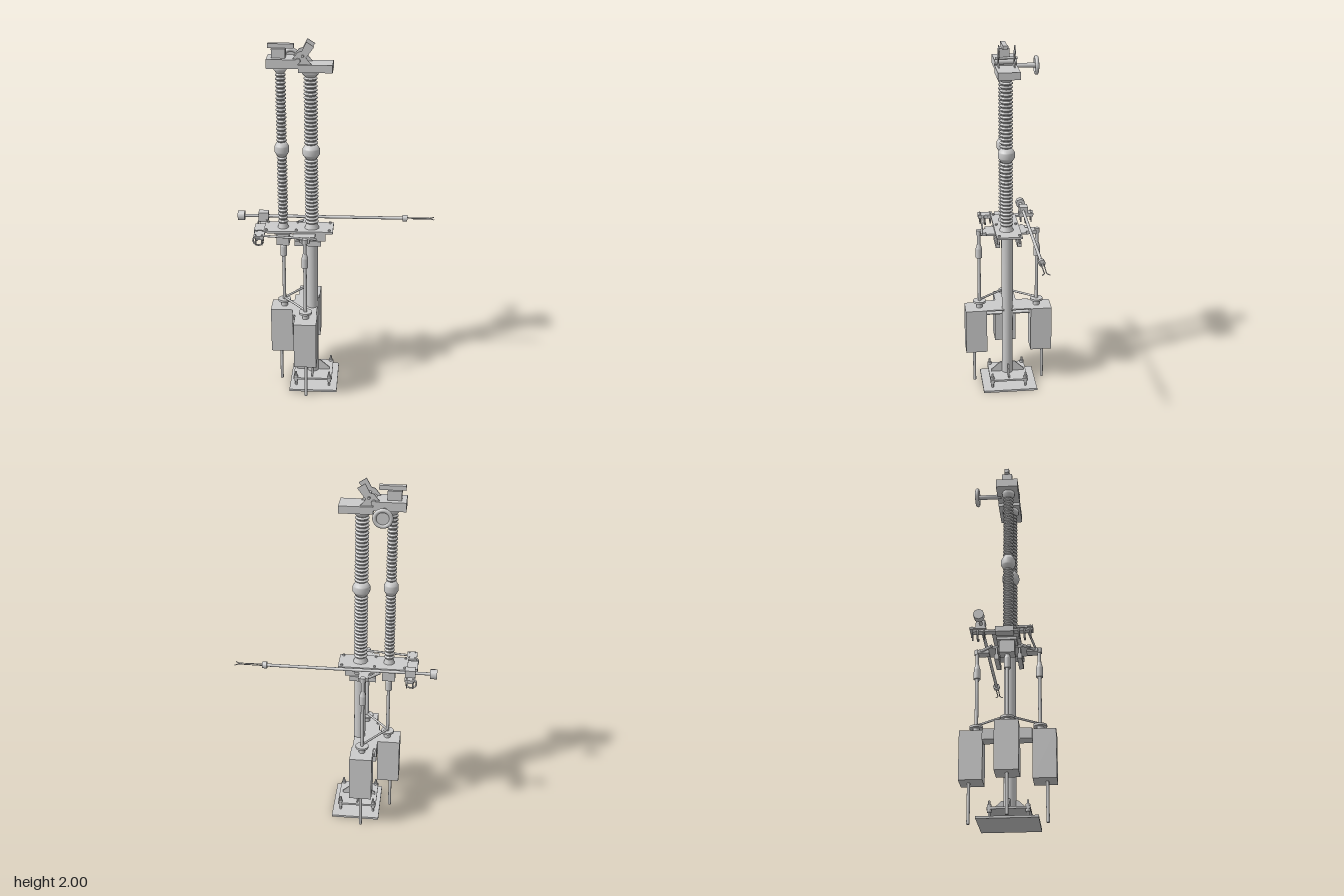
import * as THREE from 'three';

export function createModel() {
  const root = new THREE.Group();
  const mat = new THREE.MeshStandardMaterial({ color: 0xcccccc, side: THREE.DoubleSide });
  const flat = new THREE.MeshStandardMaterial({ color: 0xcccccc, flatShading: true, side: THREE.DoubleSide });
  const Z = 0.008; // centre plane of the column and head
  const V = (x, y, z) => new THREE.Vector3(x, y, z);

  const add = (name, geo, x = 0, y = 0, z = 0, m = mat) => {
    const mesh = new THREE.Mesh(geo, m);
    mesh.name = name;
    mesh.position.set(x, y, z);
    root.add(mesh);
    return mesh;
  };
  // box from its minimum and maximum along each axis
  const box = (name, x0, x1, y0, y1, z0, z1) =>
    add(name, new THREE.BoxGeometry(x1 - x0, y1 - y0, z1 - z0), (x0 + x1) / 2, (y0 + y1) / 2, (z0 + z1) / 2, flat);
  // upright cylinder between two heights
  const post = (name, x, z, y0, y1, r, rTop = r, n = 24) =>
    add(name, new THREE.CylinderGeometry(rTop, r, y1 - y0, n), x, (y0 + y1) / 2, z);
  // round bar between two points
  const bar = (name, a, b, r, n = 12) => {
    const d = b.clone().sub(a);
    const mesh = add(name, new THREE.CylinderGeometry(r, r, d.length(), n));
    mesh.position.copy(a).add(b).multiplyScalar(0.5);
    mesh.quaternion.setFromUnitVectors(V(0, 1, 0), d.normalize());
    return mesh;
  };
  // plate with an outline in x and y, centred on its thickness
  const plate = (name, pts, t, x, y, z) => {
    const shape = new THREE.Shape(pts.map(p => new THREE.Vector2(...p)));
    const geo = new THREE.ExtrudeGeometry(shape, { depth: t, bevelEnabled: false });
    geo.translate(0, 0, -t / 2);
    return add(name, geo, x, y, z, flat);
  };
  const lathe = (name, pts, x, z) =>
    add(name, new THREE.LatheGeometry(pts.map(p => new THREE.Vector2(...p)), 24), x, 0, z);

  // Base: ground plate, flange, gussets and levelling bolts
  box('groundPlate', -0.255, 0.015, 0, 0.012, -0.152, 0.16);
  box('columnFlange', -0.235, -0.015, 0.053, 0.064, -0.1, 0.118);
  for (const x of [-0.22, -0.03]) for (const z of [-0.087, 0.105]) {
    post('anchorBolt', x, z, 0.01, 0.098, 0.006, 0.006, 8);
    post('anchorNut', x, z, 0.064, 0.078, 0.012, 0.012, 6);
    post('levellingNut', x, z, 0.038, 0.053, 0.012, 0.012, 6);
  }
  for (let i = 0; i < 4; i++) {
    plate('gusset', [[0.03, 0], [0.095, 0], [0.095, 0.012], [0.042, 0.06], [0.03, 0.06]], 0.008, -0.128, 0.064, Z)
      .rotation.y = i * Math.PI / 2;
  }
  post('column', -0.128, Z, 0.06, 0.945, 0.032);

  // Three drive cabinets with legs, drive shafts, couplings and linked discs
  const drives = [[-0.157, 0.167], [-0.287, Z], [-0.157, -0.165]];
  const cabinets = [[-0.156, 0.19], [-0.298, Z], [-0.156, -0.186]];
  drives.forEach(([x, z], i) => {
    const [cx, cz] = cabinets[i];
    box('driveCabinet', cx - 0.062, cx + 0.062, 0.212, 0.475, cz - 0.061, cz + 0.061);
    post('cabinetConduit', i === 1 ? -0.31 : cx, i === 1 ? Z : Math.sign(z) * 0.2, 0, 0.212, 0.0085);
    post('shaftSocket', x, z, 0.475, 0.505, 0.018);
    post('shaftDisc', x, z, 0.505, 0.517, 0.036);
    post('driveShaft', x, z, 0.505, 0.942, 0.0095);
    post('coupling', x, z, 0.785, 0.84, 0.018);
    post('couplingNeck', x, z, 0.84, 0.868, 0.018, 0.01);
  });
  for (const i of [0, 2]) {
    const s = i ? -1 : 1;
    bar('discLink', V(drives[i][0], 0.523, drives[i][1]), V(drives[1][0], 0.523, Z), 0.006);
    // lever joining the shaft head to the platform
    bar('shaftLever', V(drives[i][0], 0.938, drives[i][1]), V(-0.24, 0.938, s * 0.08), 0.008);
    post('leverHub', drives[i][0], drives[i][1], 0.925, 0.952, 0.015);
    box('leverStop', -0.185, -0.13, 0.925, 0.945, Math.min(s * 0.1, s * 0.16), Math.max(s * 0.1, s * 0.16));
  }
  // Cabinet bracket carried by the column
  box('bracketShelf', -0.236, -0.1, 0.468, 0.475, -0.127, 0.13);
  box('bracketWeb', -0.236, -0.226, 0.418, 0.475, -0.127, 0.13);
  box('bracketLowerShelf', -0.236, -0.16, 0.418, 0.424, -0.127, 0.13);

  // Platform with its cross plate and bearing housings
  box('platform', -0.39, -0.01, 0.945, 0.957, -0.066, 0.078);
  box('crossPlate', -0.225, -0.105, 0.934, 0.945, -0.1, 0.127);
  box('bearingHousing', -0.322, -0.252, 0.862, 0.93, -0.032, 0.048);
  box('bearingCap', -0.33, -0.244, 0.93, 0.945, -0.045, 0.06);
  for (const z of [-0.056, 0.066]) {
    box('platformWeb', -0.22, -0.05, 0.9, 0.945, z - 0.005, z + 0.005);
    box('platformFoot', -0.22, -0.075, 0.872, 0.9, z - 0.012, z + 0.012);
  }
  for (const x of [-0.375, -0.21, -0.03]) for (const z of [-0.05, 0.062])
    post('platformBolt', x, z, 0.957, 0.966, 0.007, 0.007, 6);

  // End bracket: two clamps and a centre stop on a cross beam
  box('endBeam', -0.425, -0.385, 0.934, 0.944, -0.172, 0.15);
  box('centreStop', -0.445, -0.39, 0.922, 0.952, -0.042, 0.052);
  for (const z of [-0.132, 0.108]) {
    box('clampPlate', -0.436, -0.38, 0.946, 0.956, z - 0.043, z + 0.043);
    for (const x of [-0.425, -0.392]) for (const dz of [-0.03, 0.03])
      post('clampBolt', x, z + dz, 0.9, 0.962, 0.004, 0.004, 6);
    const hook = add('clampHook', new THREE.TorusGeometry(0.028, 0.005, 6, 16, Math.PI * 1.2), -0.415, 0.915, z);
    hook.rotation.z = 2.2;
  }
  box('rodClamp', -0.436, -0.38, 0.95, 0.995, -0.142, -0.094);

  // Earthing arm: long rod with counterweight, collar and forked tip
  const rz = -0.115, ry = 0.97;
  bar('earthingRod', V(-0.53, ry, rz), V(0.385, ry, rz), 0.0085, 16);
  bar('counterweight', V(-0.552, ry, rz), V(-0.514, ry, rz), 0.028, 8);
  bar('rodCollar', V(0.372, ry, rz), V(0.398, ry, rz), 0.019, 8);
  for (const s of [-1, 1]) {
    const curve = new THREE.CatmullRomCurve3([
      V(0.39, ry, rz + s * 0.008), V(0.5, ry, rz + s * 0.006), V(0.53, ry, rz + s * 0.007), V(0.547, ry, rz + s * 0.02)]);
    add('forkTip', new THREE.TubeGeometry(curve, 16, 0.0028, 6));
  }
  bar('controlRod', V(-0.437, 0.948, 0.116), V(-0.095, 0.948, 0.157), 0.006);

  // Insulators: two ribbed stacks with a rounded joint between them
  const ribs = (x, r, y0, y1, n = 18) => {
    const pts = [[0, y0]], p = (y1 - y0) / n;
    for (let i = 0; i < n; i++) {
      const y = y0 + i * p;
      pts.push([r * 0.74, y], [r, y + p * 0.35], [r, y + p * 0.5], [r * 0.74, y + p * 0.85]);
    }
    pts.push([r * 0.74, y1], [0, y1]);
    add('insulatorSheds', new THREE.LatheGeometry(pts.map(q => new THREE.Vector2(...q)), 24), x, 0, Z + 0.004, flat);
  };
  const insulator = (x, r, yMid, yTop, yHead, rMid, h) => {
    const z = Z + 0.004;
    post('insulatorFoot', x, z, 0.955, 0.985, r * 1.1, r * 0.8);
    ribs(x, r, 0.985, yMid - h);
    lathe('insulatorJoint', [[0, yMid - h], [rMid * 0.65, yMid - h], [rMid * 0.92, yMid - h * 0.5], [rMid, yMid - h * 0.35],
      [rMid, yMid + h * 0.35], [rMid * 0.92, yMid + h * 0.5], [rMid * 0.65, yMid + h], [0, yMid + h]], x, z);
    ribs(x, r, yMid + h, yTop);
    lathe('insulatorCap', [[0, yTop - 0.005], [r * 0.7, yTop - 0.005], [r * 1.2, yTop + 0.015], [r * 1.25, yHead], [0, yHead]], x, z);
  };
  insulator(-0.128, 0.037, 1.398, 1.81, 1.842, 0.047, 0.04);
  insulator(-0.286, 0.028, 1.41, 1.828, 1.862, 0.039, 0.04);

  // Head: contact housing, terminal slab, T-shaped terminal and jaw plates
  const h0 = Z - 0.06, h1 = Z + 0.06;
  box('contactHousing', -0.355, -0.188, 1.86, 1.908, h0, h1);
  box('terminalSlab', -0.188, -0.01, 1.84, 1.88, h0, h1);
  box('terminalStem', -0.33, -0.257, 1.908, 1.957, Z - 0.028, Z + 0.028);
  box('terminalBar', -0.35, -0.213, 1.957, 1.98, Z - 0.013, Z + 0.013);
  for (const s of [-1, 1]) {
    plate('jawPlate', [[-0.225, 1.9], [-0.19, 1.945], [-0.17, 1.95], [-0.145, 1.998], [-0.105, 1.972],
      [-0.148, 1.915], [-0.12, 1.88], [-0.188, 1.86]], 0.006, 0, 0, Z + s * 0.043);
  }
  bar('jawPin', V(-0.165, 1.925, h0), V(-0.165, 1.925, h1), 0.007);
  bar('jawHinge', V(-0.19, 1.9, h0), V(-0.19, 1.9, h1), 0.014);

  // Rear contact: short arm ending in a rimmed disc
  bar('rearArm', V(-0.245, 1.866, h0 + 0.02), V(-0.245, 1.866, -0.165), 0.013, 16);
  add('rearRing', new THREE.TorusGeometry(0.042, 0.011, 12, 32), -0.245, 1.866, -0.165);
  bar('rearDisc', V(-0.245, 1.866, -0.161), V(-0.245, 1.866, -0.169), 0.04, 32);

  return root;
}
